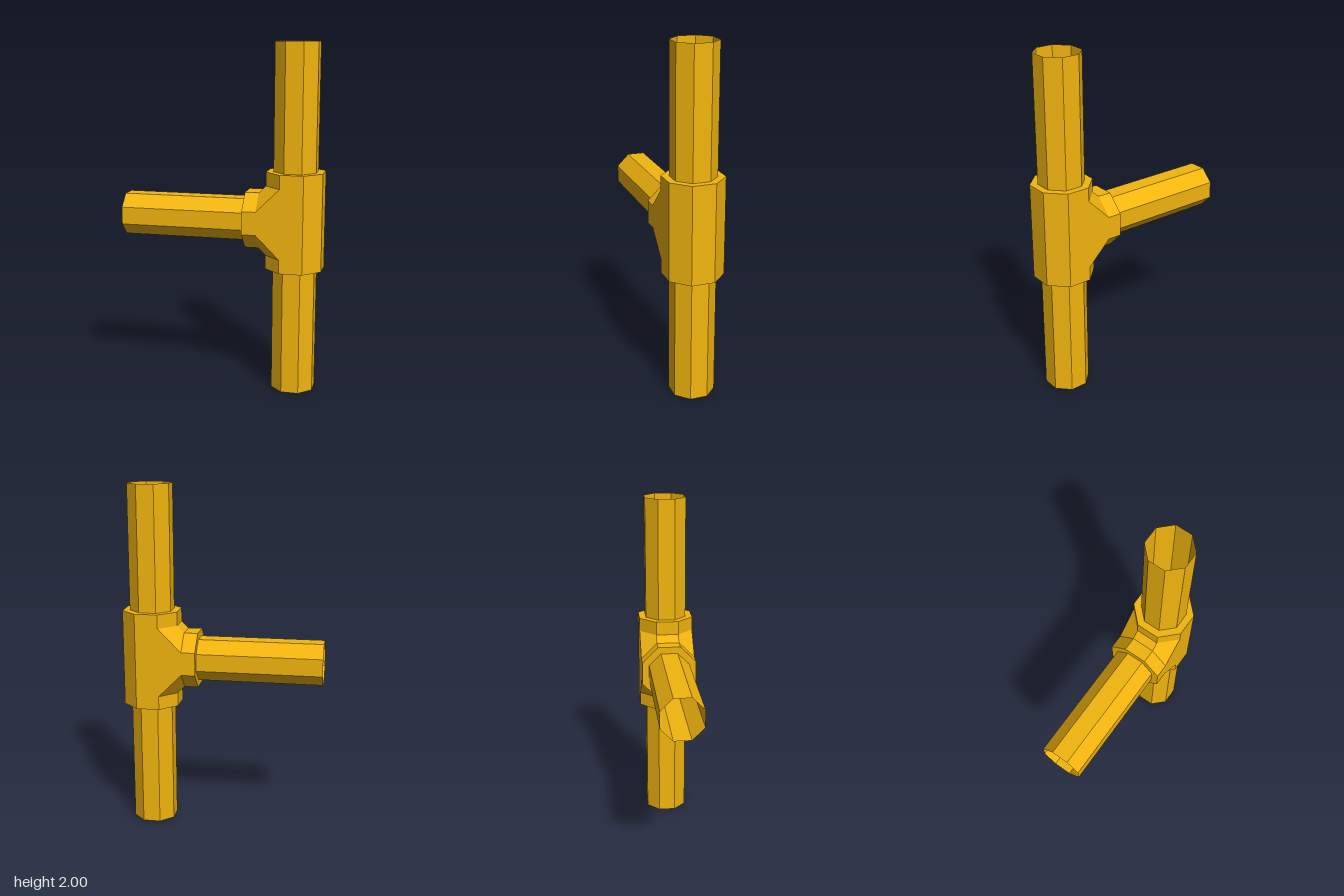
import * as THREE from 'three';

const SIDES = 8, PIPE = 0.12, FITTING = 0.16; // apothems of pipes and fitting
const AXIS_X = 0.42, AXIS_Y = 1;

const material = new THREE.MeshStandardMaterial({
  color: 0xf2b50f, flatShading: true, side: THREE.DoubleSide,
});

// Octagon corners with flats facing the axes
function octagon(apothem, place) {
  const r = apothem / Math.cos(Math.PI / SIDES);
  return Array.from({ length: SIDES }, (_, k) => {
    const t = ((k + 0.5) * 2 * Math.PI) / SIDES;
    return place(r * Math.cos(t), r * Math.sin(t));
  });
}
const ringAtY = (apothem, y) => octagon(apothem, (u, v) => [AXIS_X + u, y, v]);
const ringAtX = (apothem, x) => octagon(apothem, (u, v) => [x, AXIS_Y + u, -v]);

// Joins successive rings with flat quads; skip(band, side) leaves an opening
function loft(name, rings, skip = () => false) {
  const pos = [];
  for (let i = 0; i < rings.length - 1; i++) {
    for (let k = 0; k < SIDES; k++) {
      if (skip(i, k)) continue;
      const n = (k + 1) % SIDES;
      const a = rings[i][k], b = rings[i + 1][k], c = rings[i + 1][n], d = rings[i][n];
      pos.push(...a, ...b, ...c, ...a, ...c, ...d);
    }
  }
  const geometry = new THREE.BufferGeometry();
  geometry.setAttribute('position', new THREE.Float32BufferAttribute(pos, 3));
  geometry.computeVertexNormals();
  const mesh = new THREE.Mesh(geometry, material);
  mesh.name = name;
  return mesh;
}

export function createModel() {
  const group = new THREE.Group();
  group.name = 'pipeTee';

  // Open-ended pipes
  group.add(
    loft('lowerPipe', [ringAtY(PIPE, 0), ringAtY(PIPE, 0.72)]),
    loft('upperPipe', [ringAtY(PIPE, 1.28), ringAtY(PIPE, 2)]),
    loft('branchPipe', [ringAtX(PIPE, -0.58), ringAtX(PIPE, 0.14)]),
  );

  // Sleeve with rim faces, open on the three branch-side walls of its middle band
  group.add(loft('sleeve', [
    ringAtY(PIPE, 0.72), ringAtY(FITTING, 0.72), ringAtY(FITTING, 0.8),
    ringAtY(FITTING, 1.2), ringAtY(FITTING, 1.28), ringAtY(PIPE, 1.28),
  ], (band, side) => band === 2 && side >= 2 && side <= 4));

  // Branch collar, flaring at 45 degrees into the sleeve
  const collarEnd = ringAtX(FITTING, 0.22);
  const flareEnd = collarEnd.map(([, y, z]) => [
    Math.abs(z) > 0.1 ? 0.354 : 0.26, AXIS_Y + 0.2 * Math.sign(y - AXIS_Y), z,
  ]);
  group.add(loft('branchCollar', [
    ringAtX(PIPE, 0.14), ringAtX(FITTING, 0.14), collarEnd, flareEnd,
  ]));

  return group;
}
